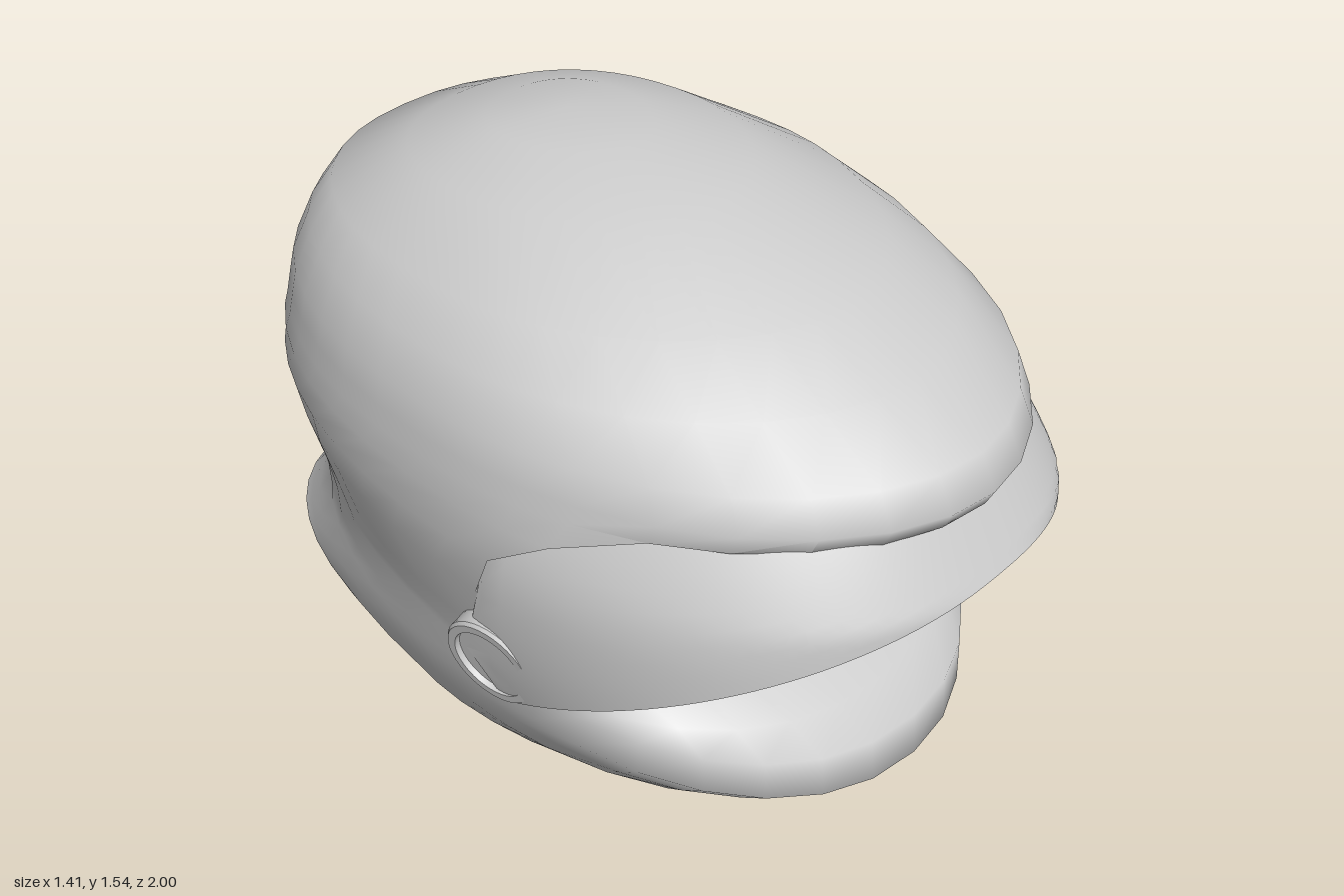
import * as THREE from 'three';
import { toCreasedNormals } from 'three/addons/utils/BufferGeometryUtils.js';

const material = new THREE.MeshStandardMaterial({ color: 0xcccccc });
const thin = new THREE.MeshStandardMaterial({ color: 0xcccccc, side: THREE.DoubleSide });

// Shell cross-sections, bottom to top: front z, front y, back z, back y, half width,
// z of widest point, then rim z and cavity z (face opening rows only)
const ROWS = [
  [0.42, 0.005, -1.0, 0.36, 0.51, -0.3],
  [0.53, 0.015, -0.98, 0.39, 0.54, -0.2],
  [0.68, 0.13, -0.93, 0.46, 0.585, -0.1],
  [0.76, 0.21, -0.89, 0.53, 0.605, -0.05],
  [0.84, 0.27, -0.885, 0.60, 0.62, 0.02],
  [0.83, 0.38, -0.89, 0.68, 0.63, 0.05],
  [0.73, 0.44, -0.89, 0.70, 0.635, 0.05],
  [0.90, 0.50, -0.89, 0.76, 0.65, 0.05, 0.30, 0.33],
  [0.90, 0.70, -0.92, 0.88, 0.685, 0.05, 0.13, 0.08],
  [0.90, 0.86, -0.94, 0.97, 0.705, 0.05, 0.19, -0.02],
  [0.90, 0.98, -0.93, 1.04, 0.70, 0.05, 0.34, -0.08],
  [0.94, 1.05, -0.915, 1.09, 0.69, 0.05],
  [0.96, 1.09, -0.905, 1.14, 0.68, 0.05],
  [0.92, 1.17, -0.89, 1.20, 0.665, 0.04],
  [0.75, 1.27, -0.85, 1.29, 0.61, 0.0],
  [0.57, 1.37, -0.80, 1.365, 0.525, -0.08],
  [0.23, 1.49, -0.60, 1.46, 0.345, -0.2],
  [-0.02, 1.535, -0.42, 1.525, 0.17, -0.24],
];
// Squareness of each row: pointed chin underside and brow, squarer back and neck edge
const BROW = 11;
const frontPower = r => (r >= BROW ? 1.9 : Math.min(2.1, 1.5 + 0.2 * r));
const backPower = r => Math.max(2.3, 2.9 - 0.2 * r);

// Cavity wall from the rim to the middle: fraction of rim x, fraction of depth
const CAVITY = [[0.92, 0.2], [0.82, 0.45], [0.66, 0.75], [0.5, 0.92], [0.25, 0.98], [0, 1]];
const SIDE = 14;
const N = SIDE + CAVITY.length;

// Point on an oval with separate front and back lengths; t runs from 0 (front) to PI (back)
function oval(t, w, zc, zf, zb, nf, nb) {
  const c = Math.cos(t);
  const n = c > 0 ? nf : nb;
  const k = Math.pow(Math.abs(c), 2 / n);
  return [w * Math.pow(Math.max(0, Math.sin(t)), 2 / n), c > 0 ? zc + (zf - zc) * k : zc - (zc - zb) * k];
}

// One full ring, starting at the back and passing the left side first
function ring([zf, yf, zb, yb, w, zc, rim, depth], r) {
  const nf = frontPower(r);
  const point = t => oval(t, w, zc, zf, zb, nf, backPower(r));
  const rimZ = rim ?? zc + (zf - zc) * 0.36;
  const tRim = Math.acos(Math.pow((rimZ - zc) / (zf - zc), nf / 2));
  const half = [];
  for (let i = 0; i <= SIDE; i++) half.push(point(Math.PI + (tRim - Math.PI) * i / SIDE));
  const rimX = half[SIDE][0];
  CAVITY.forEach(([fx, fz], i) => {
    half.push(rim === undefined
      ? point(tRim * (1 - (i + 1) / CAVITY.length))
      : [rimX * fx, rim + (depth - rim) * fz]);
  });
  const mirrored = half.slice(1, N).reverse().map(([x, z]) => [-x, z]);
  return [...half, ...mirrored].map(([x, z]) => [x, yb + (yf - yb) * (z - zb) / (zf - zb), z]);
}

function buildGeometry(positions, index, crease) {
  const g = new THREE.BufferGeometry();
  g.setAttribute('position', new THREE.Float32BufferAttribute(positions.flat(), 3));
  g.setIndex(index);
  return toCreasedNormals(g, crease);
}

function shellGeometry() {
  const rings = ROWS.map(ring);
  const size = 2 * N;
  const points = rings.flat();
  const index = [];
  const bottom = points.push([0, 0.18, -0.29]) - 1;
  const top = points.push([0, 1.547, -0.24]) - 1;
  const last = (rings.length - 1) * size;
  for (let i = 0; i < size; i++) {
    const next = (i + 1) % size;
    for (let r = 0; r < rings.length - 1; r++) {
      const a = r * size + i, b = r * size + next;
      index.push(a, a + size, b, b, a + size, b + size);
    }
    index.push(bottom, i, next, top, last + next, last + i);
  }
  return buildGeometry(points, index, 1.25);
}

// Visor outline seen from the side: lower and upper height at each z
const lowerEdge = z => z < 0.2
  ? 0.58 - 0.11 * Math.sqrt(Math.max(0, 1 - ((0.2 - z) / 0.12) ** 2))
  : 0.47 + (z - 0.2) * 0.5375;
const upperEdge = z => z < 0.4
  ? 0.58 + 0.5 * Math.sqrt(Math.max(0, 1 - ((0.4 - z) / 0.32) ** 2))
  : 1.08;

function visorGeometry() {
  const cols = 64, rows = 10, points = [], index = [];
  for (let i = 0; i <= cols; i++) {
    const a = (i / cols * 2 - 1) * Math.PI / 2;
    const [fx, z] = oval(Math.abs(a), 1, 0.08, 1, 0, 2.4, 2.4);
    for (let j = 0; j <= rows; j++) {
      const y = lowerEdge(z) + (upperEdge(z) - lowerEdge(z)) * j / rows;
      const w = 0.69 - 0.45 * (y - 0.75) ** 2 - 0.8 * Math.max(0, y - 0.8) ** 2;
      const lean = Math.max(0, y - 0.9) * 0.55 * z;
      points.push([Math.sign(a) * fx * w, y, z - lean]);
      if (i < cols && j < rows) {
        const p = i * (rows + 1) + j, q = p + rows + 1;
        index.push(p, q, p + 1, p + 1, q, q + 1);
      }
    }
  }
  return buildGeometry(points, index, 1.0);
}

function pivotGeometry() {
  const profile = [[0.12, -0.03], [0.12, 0.022], [0.114, 0.03], [0.094, 0.03], [0.092, 0.016], [0, 0.016]];
  return toCreasedNormals(new THREE.LatheGeometry(profile.map(p => new THREE.Vector2(...p)), 36), 0.5);
}

export function createModel() {
  const group = new THREE.Group();
  const add = (name, geometry, mat) => {
    const mesh = new THREE.Mesh(geometry, mat);
    mesh.name = name;
    group.add(mesh);
    return mesh;
  };

  add('shell', shellGeometry(), material);
  add('visor', visorGeometry(), thin);

  // Round hinge caps, leaning with the sides of the shell
  const cap = pivotGeometry();
  for (const [side, name] of [[1, 'leftVisorPivot'], [-1, 'rightVisorPivot']]) {
    const pivot = add(name, cap, material);
    pivot.position.set(side * 0.652, 0.58, 0.15);
    pivot.quaternion.setFromUnitVectors(
      new THREE.Vector3(0, 1, 0),
      new THREE.Vector3(side * 0.97, -0.17, 0.12).normalize());
  }
  return group;
}
